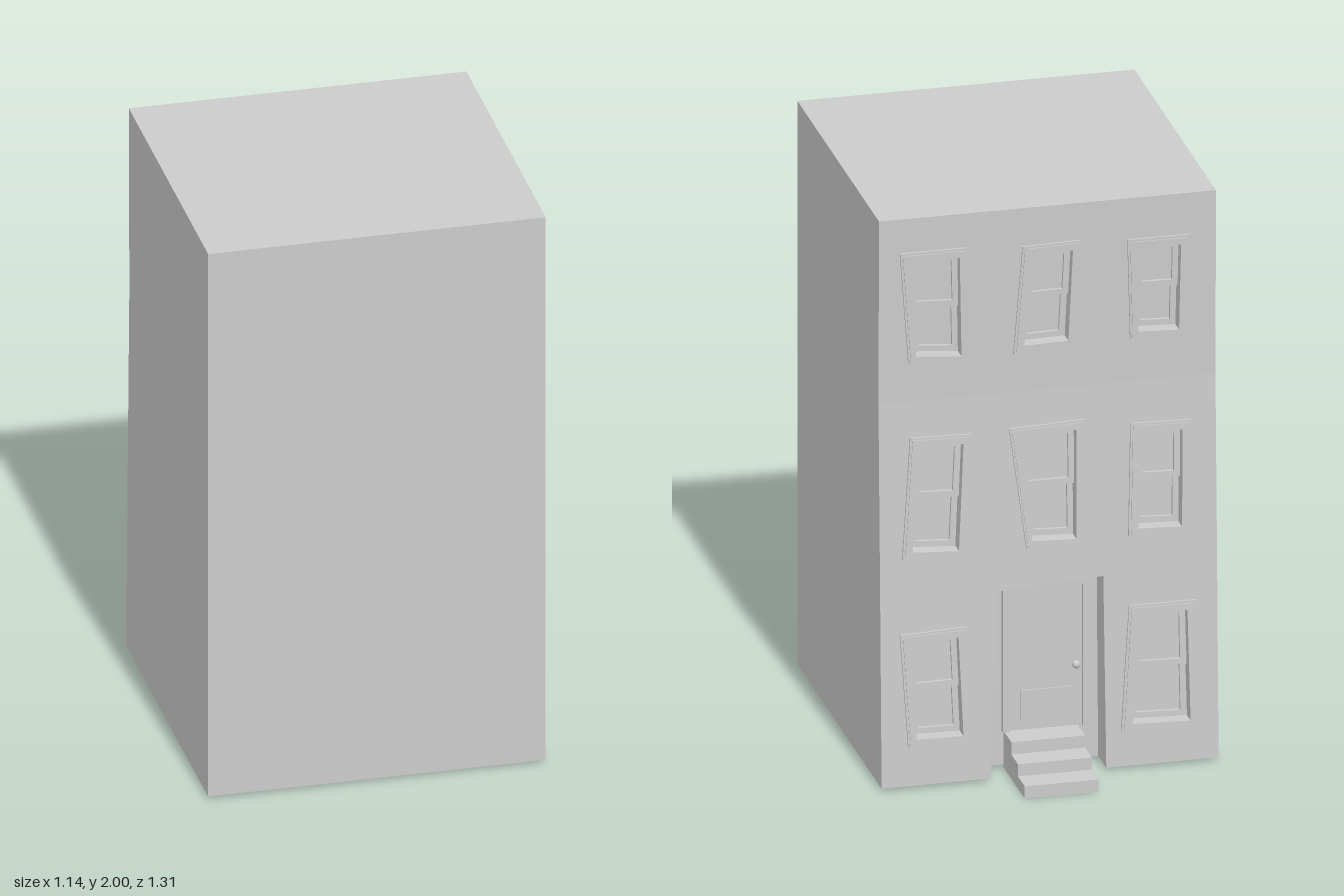
import * as THREE from 'three';

const W = 0.57, BACK = 0.655, BASE = 0.01, RECESS = -0.37;
const LEVELS = [[2, -0.445], [1.35, -0.437], [0.7, -0.459], [BASE, -0.48]]; // leaning facade: y, z

// Window outlines per floor: corners top +x, top -x, bottom -x, bottom +x
const WINDOWS = [
  [[0.5, 1.88, 0.27, 1.88, 0.265, 1.465, 0.47, 1.485],
   [0.085, 1.865, -0.115, 1.87, -0.1, 1.49, 0.115, 1.485],
   [-0.27, 1.855, -0.48, 1.855, -0.47, 1.49, -0.28, 1.5]],
  [[0.465, 1.225, 0.255, 1.22, 0.275, 0.785, 0.495, 0.8],
   [0.13, 1.225, -0.125, 1.235, -0.115, 0.79, 0.075, 0.8],
   [-0.28, 1.205, -0.485, 1.2, -0.48, 0.8, -0.27, 0.81]],
  [[0.505, 0.54, 0.28, 0.55, 0.265, 0.14, 0.48, 0.145],
   [-0.27, 0.57, -0.495, 0.57, -0.51, 0.12, -0.24, 0.13]],
];
const DOORWAY = [[0.2, BASE], [0.18, 0.66], [-0.185, 0.68], [-0.19, BASE]];

function facadeZ(y) {
  let i = 0;
  while (i < LEVELS.length - 2 && y < LEVELS[i + 1][0]) i++;
  const [y0, z0] = LEVELS[i], [y1, z1] = LEVELS[i + 1];
  return z0 + (z1 - z0) * (y0 - y) / (y0 - y1);
}

const toPoints = (list) => list.map(([x, y]) => new THREE.Vector2(x, y));

// Part of a four-cornered outline, s running towards -x and t downwards, both 0..1
function patch(q, s0, t0, s1, t1) {
  const at = (s, t) => [0, 1].map((k) =>
    (q[k] * (1 - s) + q[2 + k] * s) * (1 - t) + (q[6 + k] * (1 - s) + q[4 + k] * s) * t);
  return [...at(s0, t0), ...at(s1, t0), ...at(s1, t1), ...at(s0, t1)];
}

// Outline moved inward by a width w
function inset(q, w) {
  const s = w / Math.abs(q[0] - q[2]), t = w / Math.abs(q[1] - q[7]);
  return patch(q, s, t, 1 - s, 1 - t);
}

const quadPoints = (q) => toPoints([[q[0], q[1]], [q[2], q[3]], [q[4], q[5]], [q[6], q[7]]]);

// Make a geometry follow the lean of the facade
function lean(geo, offset) {
  const p = geo.attributes.position;
  for (let i = 0; i < p.count; i++) p.setZ(i, p.getZ(i) + facadeZ(p.getY(i)) + offset);
  geo.computeVertexNormals();
  return geo;
}

export function createModel() {
  const model = new THREE.Group();
  const solid = new THREE.MeshStandardMaterial({ color: 0xcccccc });
  const thin = new THREE.MeshStandardMaterial({ color: 0xcccccc, side: THREE.DoubleSide });

  const add = (parent, name, geo, mat = solid) => {
    const mesh = new THREE.Mesh(geo, mat);
    mesh.name = name;
    parent.add(mesh);
    return mesh;
  };
  const box = (parent, name, x0, x1, y0, y1, z0, z1) =>
    add(parent, name, new THREE.BoxGeometry(x1 - x0, y1 - y0, z1 - z0))
      .position.set((x0 + x1) / 2, (y0 + y1) / 2, (z0 + z1) / 2);
  // Border or slab set in the facade, from depth d0 to d1
  const slab = (parent, name, outer, inner, d0, d1) => {
    const shape = new THREE.Shape(quadPoints(outer));
    if (inner) shape.holes.push(new THREE.Path(quadPoints(inner)));
    add(parent, name, lean(new THREE.ExtrudeGeometry(shape, { depth: d1 - d0, bevelEnabled: false }), d0));
  };

  // Plain walls and roof, open underneath
  const top = LEVELS[0];
  const roof = add(model, 'roof', new THREE.PlaneGeometry(2 * W, BACK - top[1]).rotateX(-Math.PI / 2), thin);
  roof.position.set(0, 2, (BACK + top[1]) / 2);
  add(model, 'blankWall', new THREE.PlaneGeometry(2 * W, 2 - BASE), thin).position.set(0, 1 + BASE / 2, BACK);
  const profile = new THREE.Shape(toPoints(
    [[-BACK, BASE], ...LEVELS.map(([y, z]) => [-z, y]).reverse(), [-BACK, 2]]));
  for (const side of [1, -1]) {
    add(model, side > 0 ? 'leftWall' : 'rightWall',
      new THREE.ShapeGeometry(profile).rotateY(Math.PI / 2), thin).position.x = side * W;
  }

  // One facade band per floor, with its windows
  WINDOWS.forEach((floor, i) => {
    const yTop = LEVELS[i][0], yLow = LEVELS[i + 1][0];
    const notch = i === 2 ? [...DOORWAY].reverse() : [];
    const band = new THREE.Shape(toPoints([[-W, yLow], ...notch, [W, yLow], [W, yTop], [-W, yTop]]));
    floor.forEach((q) => {
      band.holes.push(new THREE.Path(quadPoints(inset(q, 0.02))));
      const win = new THREE.Group();
      win.name = 'window';
      model.add(win);
      const opening = inset(q, 0.03);
      slab(win, 'casing', q, inset(q, 0.022), -0.008, 0.002);
      slab(win, 'casingBead', inset(q, 0.008), opening, -0.012, 0.055);
      const upper = patch(opening, 0, 0, 1, 0.52), lower = patch(opening, 0, 0.47, 1, 1);
      slab(win, 'upperSash', upper, inset(upper, 0.02), 0.022, 0.038);
      slab(win, 'upperPane', upper, null, 0.034, 0.038);
      slab(win, 'lowerSash', lower, inset(lower, 0.02), 0.038, 0.055);
      slab(win, 'lowerPane', lower, null, 0.05, 0.055);
    });
    add(model, 'facade', lean(new THREE.ShapeGeometry(band), 0), thin);
  });

  // Doorway recess: jambs and ceiling swept back from the facade
  const verts = [];
  for (let i = 0; i < 3; i++) {
    const [ax, ay] = DOORWAY[i], [bx, by] = DOORWAY[i + 1];
    const a = [ax, ay, facadeZ(ay)], b = [bx, by, facadeZ(by)];
    const c = [bx, by, RECESS], d = [ax, ay, RECESS];
    verts.push(...a, ...b, ...c, ...a, ...c, ...d);
  }
  const recess = new THREE.BufferGeometry();
  recess.setAttribute('position', new THREE.Float32BufferAttribute(verts, 3));
  recess.computeVertexNormals();
  add(model, 'doorwayRecess', recess, thin);
  add(model, 'doorwayBack', new THREE.ShapeGeometry(new THREE.Shape(toPoints(DOORWAY))), thin).position.z = RECESS;

  // Door with frame, raised panels and knob
  const door = new THREE.Group();
  door.name = 'door';
  model.add(door);
  for (const x of [-0.145, 0.125]) box(door, 'doorJamb', x - 0.012, x + 0.012, 0.13, 0.65, RECESS - 0.02, RECESS);
  box(door, 'doorHead', -0.157, 0.137, 0.63, 0.655, RECESS - 0.02, RECESS);
  box(door, 'doorLeaf', -0.133, 0.113, 0.13, 0.63, RECESS - 0.008, RECESS);
  box(door, 'lowerPanel', -0.095, 0.075, 0.17, 0.27, RECESS - 0.013, RECESS);
  const knob = add(door, 'doorKnob', new THREE.SphereGeometry(0.014, 12, 8));
  knob.position.set(-0.11, 0.35, RECESS - 0.024);

  // Entrance steps
  [-0.655, -0.565, -0.475].forEach((z, i) =>
    box(model, 'step', -0.12, 0.13, i * 0.043, (i + 1) * 0.043, z, RECESS));

  return model;
}
